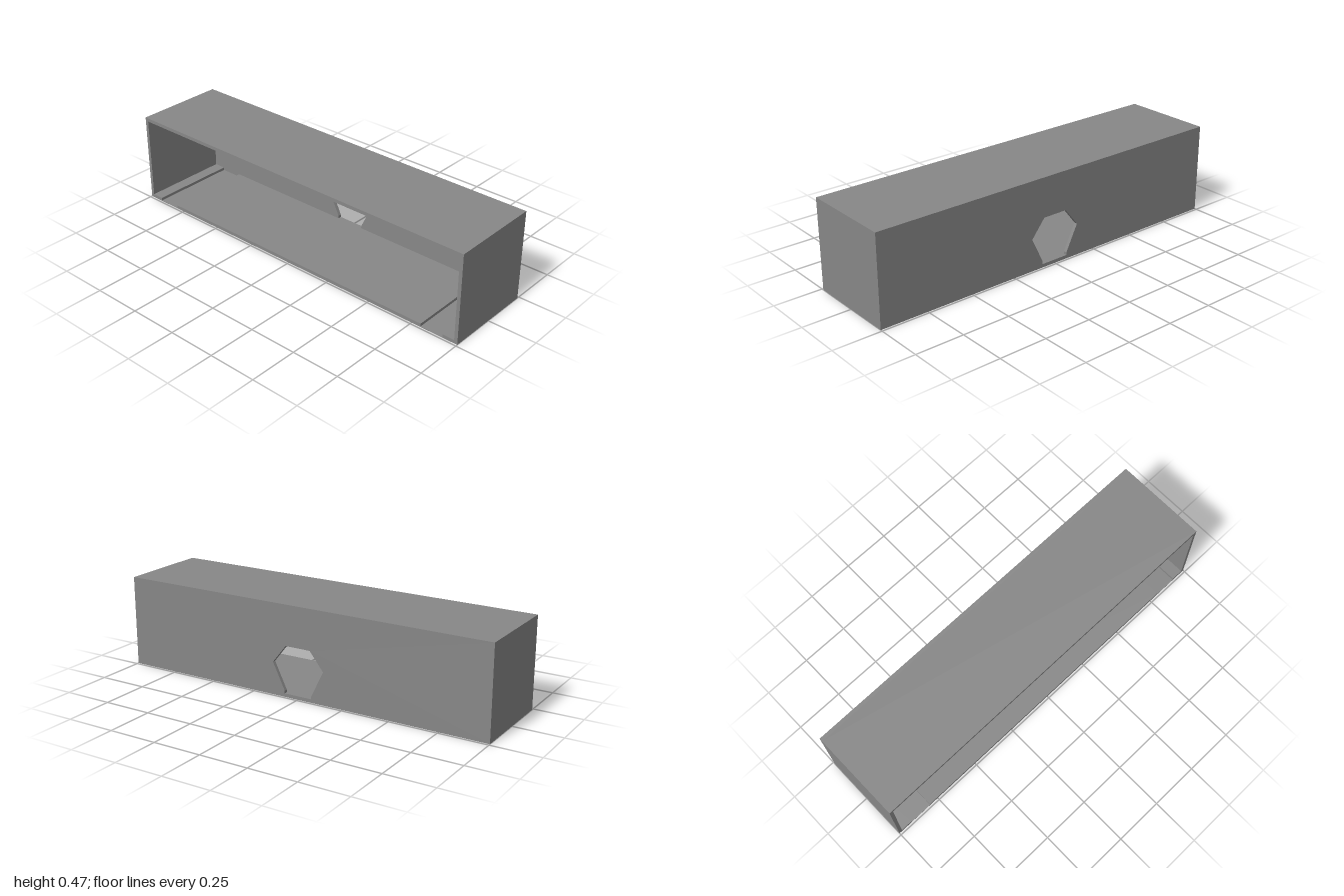
import * as THREE from 'three';

const W = 2, H = 0.466, D = 0.478, T = 0.018;   // outer size and wall thickness
const GROOVE_IN = 0.8, GROOVE_OUT = 0.92, GROOVE_Y = 0.003;

// Half outline (x >= 0, bottom to top) mirrored into a closed loop
function mirrored(half) {
  const left = half.map(([x, y]) => [-x, y]).reverse();
  return [...half, ...left].map(([x, y]) => new THREE.Vector2(x, y));
}

// Extruded outer rectangle with one opening, from z0 to z1
function panel(name, opening, z0, z1, material) {
  const shape = new THREE.Shape(mirrored([[W / 2, 0], [W / 2, H]]));
  shape.holes.push(new THREE.Path(mirrored(opening)));
  const geometry = new THREE.ExtrudeGeometry(shape, { depth: z1 - z0, bevelEnabled: false });
  geometry.translate(0, 0, z0);
  const mesh = new THREE.Mesh(geometry, material);
  mesh.name = name;
  return mesh;
}

export function createModel() {
  const group = new THREE.Group();
  group.name = 'openBox';
  const material = new THREE.MeshStandardMaterial({ color: 0x878787, flatShading: true });
  const back = -D / 2;

  // Top, sides and floor, with two grooves running front to back in the floor
  const inside = [
    [GROOVE_IN, T], [GROOVE_IN, GROOVE_Y], [GROOVE_OUT, GROOVE_Y], [GROOVE_OUT, T],
    [W / 2 - T, T], [W / 2 - T, H - T],
  ];
  group.add(panel('shell', inside, back + T, D / 2, material));

  // Back wall with a faceted opening that reaches down to the floor
  const opening = [[0.076, T], [0.076, 0.032], [0.142, 0.167], [0.068, 0.26]];
  group.add(panel('backWall', opening, back, back + T, material));

  return group;
}
